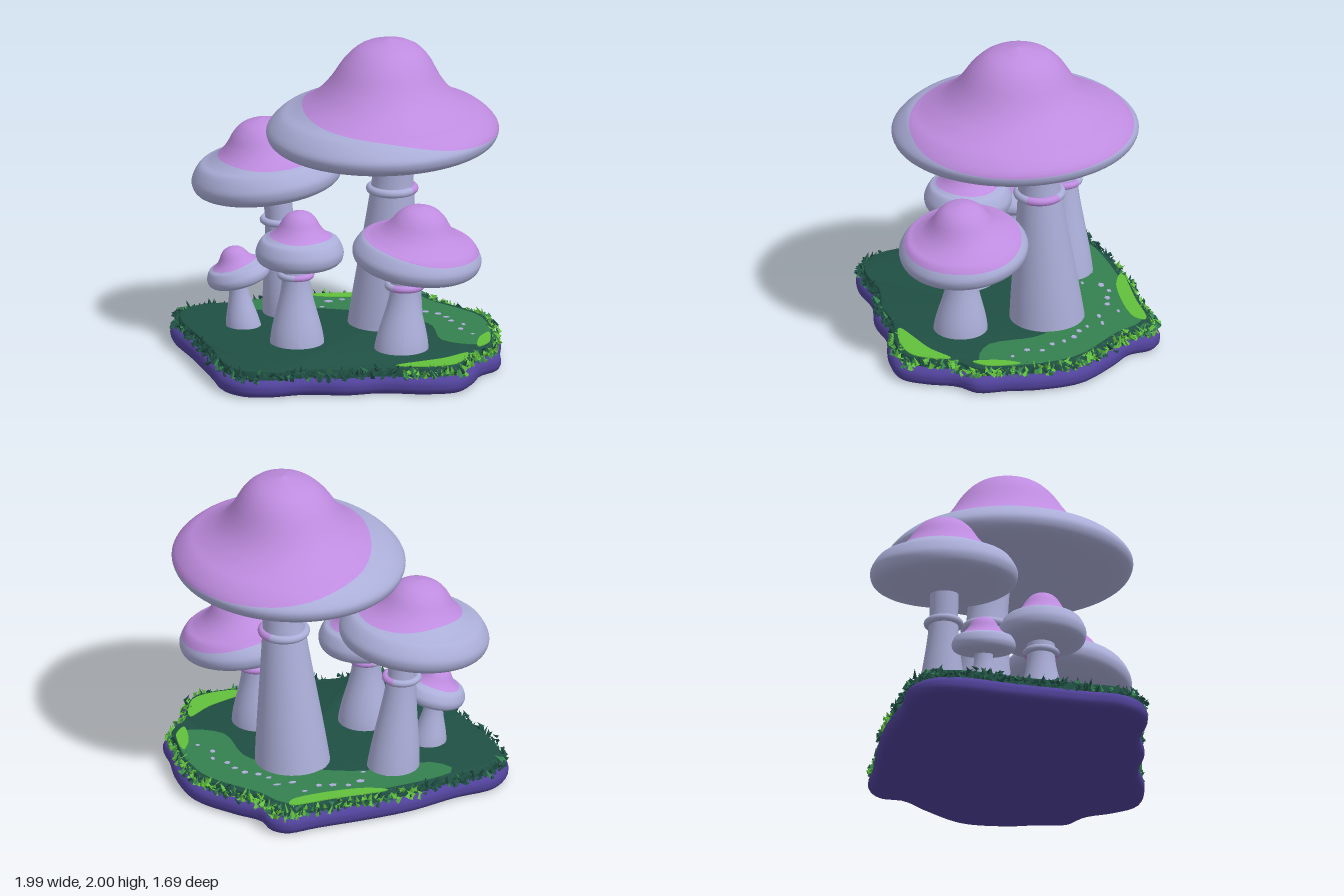
import * as THREE from 'three';
import { mergeGeometries, toCreasedNormals } from 'three/addons/utils/BufferGeometryUtils.js';

const mat = (name, color, side = THREE.FrontSide) => {
  const m = new THREE.MeshStandardMaterial({ color, side });
  m.name = name;
  return m;
};

// Repeatable random numbers
function seeded(seed) {
  return () => {
    seed = (seed * 1664525 + 1013904223) % 4294967296;
    return seed / 4294967296;
  };
}

// Closed smooth outline through [x, z] points
function outline(pts, count) {
  const curve = new THREE.CatmullRomCurve3(pts.map(([x, z]) => new THREE.Vector3(x, 0, z)), true);
  return curve.getSpacedPoints(count).slice(0, count);
}

// Upright slab with a rounded edge from y0 to y1
function slab(points, scale, y0, y1, bevel) {
  const shape = new THREE.Shape(points.map(p => new THREE.Vector2(p.x * scale, -p.z * scale)));
  const geo = new THREE.ExtrudeGeometry(shape, {
    depth: y1 - y0 - 2 * bevel, bevelEnabled: bevel > 0, bevelThickness: bevel,
    bevelSize: bevel, bevelOffset: -bevel, bevelSegments: 6,
  });
  geo.rotateX(-Math.PI / 2);
  geo.translate(0, y0 + bevel, 0);
  return toCreasedNormals(geo, 0.7);
}

// Bell-shaped cap; rings follow the wavy edge between the painted top and the pale rim
function capGeometry({ R, Rz = R, H, k, paint, off = [0, 0] }) {
  const dome = [[0, 1], [0.23, 0.91], [0.37, 0.72], [0.48, 0.45], [0.6, 0.24], [0.76, 0.08], [0.88, 0]];
  const rim = [[0.98, 0.7], [1, 0.48], [0.95, 0.24], [0.8, 0.09], [0.5, 0], [0, 0]];
  const profile = new THREE.SplineCurve([
    ...dome.map(([r, d]) => new THREE.Vector2(r, k + (1 - k) * d)),
    ...rim.map(([r, e]) => new THREE.Vector2(r, k * e)),
  ]);
  const n = 72, top = 18, rings = 44, pos = [], index = [];
  const [mean, swing, dir] = paint;
  for (let i = 0; i <= rings; i++) {
    for (let j = 0; j < n; j++) {
      const a = (j / n) * Math.PI * 2;
      const edge = mean + swing * Math.cos(a - dir) + 0.1 * Math.sin(3 * a + R * 9);
      const t = i <= top ? edge * i / top : edge + (12 - edge) * (i - top) / (rings - top);
      const p = profile.getPoint(t / 12);
      const shift = Math.max(0, (p.y - k) / (1 - k));
      pos.push(Math.max(p.x, 0) * R * Math.cos(a) + off[0] * shift, p.y * H,
        Math.max(p.x, 0) * Rz * Math.sin(a) + off[1] * shift);
    }
  }
  for (let i = 0; i < rings; i++) {
    for (let j = 0; j < n; j++) {
      const a = i * n + j, d = i * n + (j + 1) % n, b = a + n, c = d + n;
      index.push(a, d, c, a, c, b);
    }
  }
  const geo = new THREE.BufferGeometry();
  geo.setAttribute('position', new THREE.Float32BufferAttribute(pos, 3));
  geo.setIndex(index);
  geo.addGroup(0, top * n * 6, 0);
  geo.addGroup(top * n * 6, (rings - top) * n * 6, 1);
  geo.computeVertexNormals();
  return geo;
}

// Leaning stem that narrows from foot to ring and stays straight above it
function stemGeometry({ foot, head, rFoot, rHead, yHead, yRing, soft }) {
  const geo = new THREE.CylinderGeometry(1, 1, 1, 40, 20, true);
  const p = geo.attributes.position;
  for (let i = 0; i < p.count; i++) {
    const t = p.getY(i) + 0.5;
    const y = 0.13 + (yHead - 0.13) * t;
    const u = Math.min(1, (y - 0.13) / (yRing - 0.13));
    const ease = u + soft * (u * u * (3 - 2 * u) - u);
    const r = rFoot + (rHead - rFoot) * ease;
    p.setXYZ(i, foot[0] + (head[0] - foot[0]) * t + p.getX(i) * r, y,
      foot[1] + (head[1] - foot[1]) * t + p.getZ(i) * r);
  }
  geo.computeVertexNormals();
  return geo;
}

export function createModel() {
  const model = new THREE.Group();
  const lilac = mat('pale lilac', 0xabaed8), pink = mat('cap pink', 0xbf8ce0);
  const purple = mat('soil purple', 0x50429a);
  const dark = mat('dark green', 0x205044, THREE.DoubleSide);
  const mid = mat('mid green', 0x348150, THREE.DoubleSide);
  const lime = mat('lime green', 0x62c03c, THREE.DoubleSide);
  const add = (parent, name, geo, material) => {
    const mesh = new THREE.Mesh(geo, material);
    mesh.name = name;
    parent.add(mesh);
    return mesh;
  };

  // Soil and turf
  const edge = outline([
    [-0.85, -0.61], [-0.97, -0.47], [-0.98, -0.3], [-0.89, 0.05], [-0.8, 0.45], [-0.75, 0.68],
    [-0.64, 0.8], [-0.48, 0.83], [-0.25, 0.79], [0, 0.82], [0.2, 0.79], [0.48, 0.83], [0.68, 0.8],
    [0.78, 0.65], [0.84, 0.49], [0.95, 0.38], [0.96, 0.2], [0.98, 0], [0.94, -0.27], [0.76, -0.5],
    [0.63, -0.63], [0.6, -0.76], [0.51, -0.83], [0.3, -0.81], [0, -0.79], [-0.3, -0.75], [-0.6, -0.66],
  ], 140);
  add(model, 'soil', slab(edge, 1, 0, 0.11, 0.05), purple);
  add(model, 'turf', slab(edge, 0.95, 0.08, 0.165, 0.012), dark);

  // Lighter patches on the turf
  const patch = (name, pts, y, material) =>
    add(model, name, slab(outline(pts, 60), 1, 0.163, y, 0), material);
  patch('midPatch', [[0.86, 0.33], [0.88, -0.2], [0.6, -0.55], [0.48, -0.72], [0, -0.71], [-0.6, -0.58],
    [-0.5, -0.45], [-0.1, -0.45], [0.2, -0.35], [0.55, -0.1], [0.62, 0.25]], 0.168, mid);
  patch('frontLimePatch', [[0.3, 0.73], [0.5, 0.76], [0.67, 0.71], [0.75, 0.5], [0.6, 0.6]], 0.17, lime);
  patch('backLimePatch', [[-0.15, -0.72], [0.2, -0.74], [0.47, -0.75], [0.44, -0.69], [0, -0.66]], 0.171, lime);
  patch('sideLimePatch', [[0.82, 0.38], [0.89, 0.3], [0.9, 0.1], [0.84, 0.2]], 0.171, lime);

  // Pale flecks scattered on the lighter turf
  const rand = seeded(7);
  const flecks = [];
  for (let i = 0; i < 18; i++) {
    const g = new THREE.CylinderGeometry(0.018, 0.018, 0.006, 5);
    g.scale(0.6 + rand(), 1, 0.5 + rand() * 0.6);
    const a = -2.3 + i / 17 * 2.5, r = 0.5 + rand() * 0.18;
    flecks.push(g.translate(0.15 + Math.cos(a) * r, 0.169, Math.sin(a) * r));
  }
  add(model, 'flecks', mergeGeometries(flecks), lilac);

  // Grass fringe: dark at the front left, brighter to the right and back
  const blades = [[], [], []];
  for (let i = 0; i < 1100; i++) {
    const p = edge[Math.floor(rand() * edge.length)];
    const bright = p.x > 0.35 || (p.z < -0.55 && p.x > -0.35);
    const pick = rand();
    const tone = bright ? (pick < 0.5 ? 2 : pick < 0.75 ? 1 : 0) : (pick < 0.92 ? 0 : 1);
    if (!bright && rand() < 0.3) continue;
    const s = 0.985 - rand() * (bright ? 0.06 : 0.04);
    const h = 0.03 + rand() * 0.035;
    const g = new THREE.ConeGeometry(0.012 + rand() * 0.007, h, 3, 1, true);
    g.rotateY(rand() * 6).rotateX((rand() - 0.5) * 2).rotateZ((rand() - 0.5) * 2);
    g.translate(p.x * s + (rand() - 0.5) * 0.02, 0.105 + rand() * 0.065, p.z * s + (rand() - 0.5) * 0.02);
    blades[tone].push(g);
  }
  [dark, mid, lime].forEach((m, i) => {
    const geo = mergeGeometries(blades[i]).toNonIndexed();
    geo.computeVertexNormals();
    add(model, ['darkGrass', 'midGrass', 'limeGrass'][i], geo, m);
  });

  // Mushrooms: cap at (position, tilt), stem from foot to head, ring with a painted arc
  const mushrooms = [
    { name: 'tallMushroom', at: [0.27, 1.31, 0.012], tilt: [0, 0.02],
      cap: { R: 0.7, Rz: 0.745, H: 0.69, k: 0.33, paint: [6.2, 1.6, -0.1], off: [0.05, -0.01] },
      stem: { foot: [0.295, -0.18], head: [0.352, -0.1], rFoot: 0.23, rHead: 0.123, yHead: 1.4, yRing: 1.1, soft: 0.2 },
      ring: { y: 1.02, r: 0.132, tube: 0.026, arc: 1.4 } },
    { name: 'backMushroom', at: [-0.39, 0.93, -0.395], tilt: [0, 0.12],
      cap: { R: 0.455, Rz: 0.445, H: 0.465, k: 0.45, paint: [4.6, 0.7, 0.6] },
      stem: { foot: [-0.265, -0.41], head: [-0.35, -0.39], rFoot: 0.16, rHead: 0.086, yHead: 1, yRing: 0.78, soft: 0.6 },
      ring: { y: 0.75, r: 0.098, tube: 0.022, arc: 1.6 } },
    { name: 'middleMushroom', at: [-0.245, 0.64, 0.2], tilt: [0, 0],
      cap: { R: 0.265, H: 0.35, k: 0.48, paint: [4.7, 0.1, 0] },
      stem: { foot: [-0.26, 0.2], head: [-0.27, 0.19], rFoot: 0.165, rHead: 0.084, yHead: 0.7, yRing: 0.58, soft: 1 },
      ring: { y: 0.585, r: 0.092, tube: 0.02, arc: 3.4 } },
    { name: 'frontMushroom', at: [0.44, 0.65, 0.355], tilt: [0.09, -0.11],
      cap: { R: 0.39, H: 0.415, k: 0.45, paint: [6.2, 0.5, 0] },
      stem: { foot: [0.355, 0.365], head: [0.388, 0.35], rFoot: 0.165, rHead: 0.086, yHead: 0.74, yRing: 0.55, soft: 1 },
      ring: { y: 0.555, r: 0.1, tube: 0.022, arc: 4.6 } },
    { name: 'smallMushroom', at: [-0.575, 0.43, -0.16], tilt: [0, 0.25],
      cap: { R: 0.193, H: 0.235, k: 0.48, paint: [4.6, 0.3, 3.1] },
      stem: { foot: [-0.555, -0.16], head: [-0.6, -0.16], rFoot: 0.108, rHead: 0.056, yHead: 0.48, yRing: 0.42, soft: 1 } },
  ];
  for (const { name, at, tilt, cap, stem, ring } of mushrooms) {
    const group = new THREE.Group();
    group.name = name;
    model.add(group);
    const capMesh = add(group, 'cap', capGeometry(cap), [pink, lilac]);
    capMesh.position.set(...at);
    capMesh.rotation.set(tilt[0], 0, tilt[1]);
    add(group, 'stem', stemGeometry(stem), lilac);
    if (!ring) continue;
    // The painted arc is centred on the right-hand front, the rest is pale
    const t = (ring.y - 0.13) / (stem.yHead - 0.13);
    const x = stem.foot[0] + (stem.head[0] - stem.foot[0]) * t;
    const z = stem.foot[1] + (stem.head[1] - stem.foot[1]) * t;
    const arcs = [['paintedRing', ring.arc, 0, pink], ['paleRing', Math.PI * 2 - ring.arc, ring.arc, lilac]];
    for (const [part, arc, start, m] of arcs) {
      const geo = new THREE.TorusGeometry(ring.r, ring.tube, 12, 40, arc);
      geo.rotateZ(start - ring.arc / 2).rotateX(Math.PI / 2);
      add(group, part, geo, m).position.set(x, ring.y, z);
    }
  }
  return model;
}
